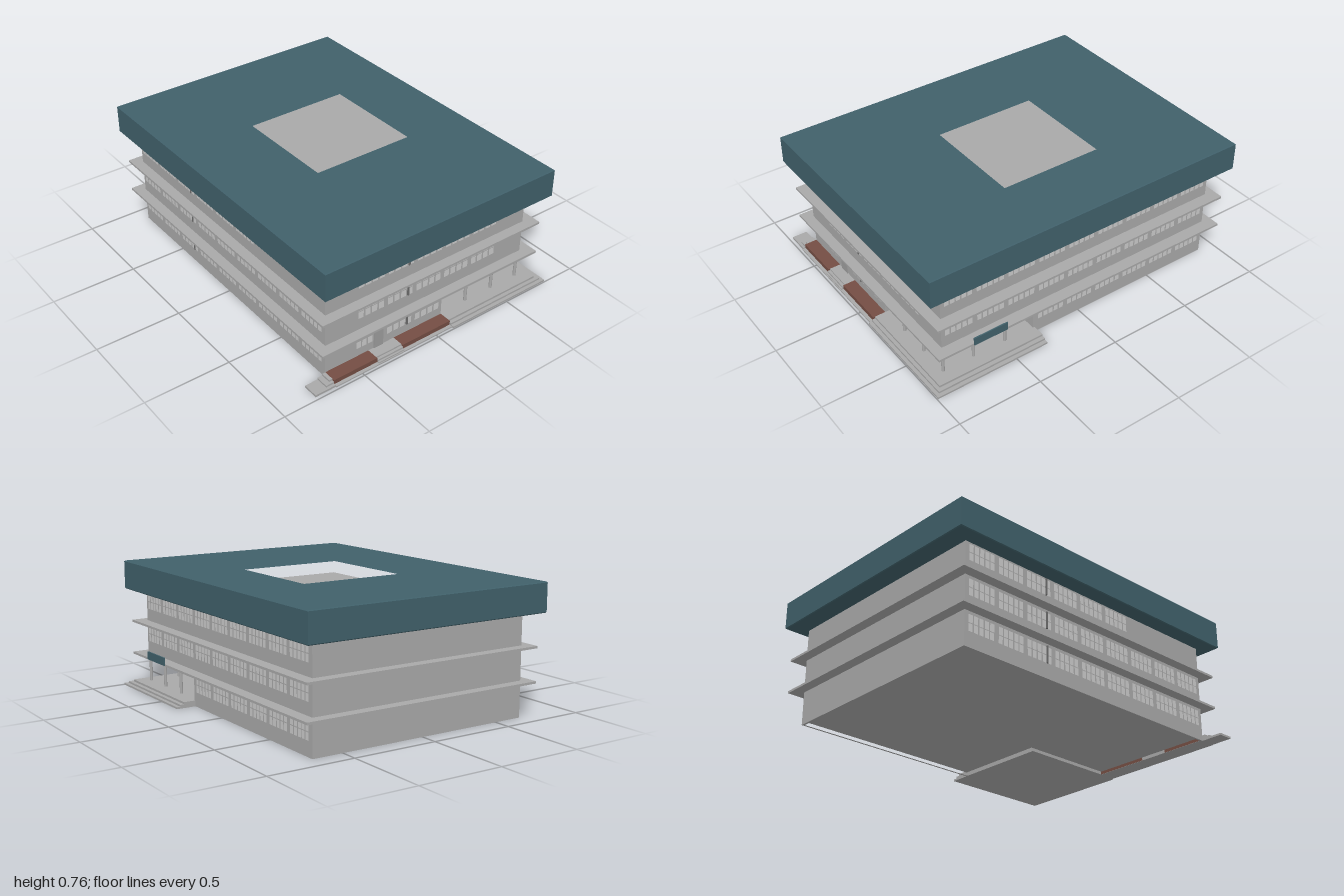
import * as THREE from 'three';
import { mergeGeometries } from 'three/addons/utils/BufferGeometryUtils.js';

const paint = (name, color) => {
  const m = new THREE.MeshStandardMaterial({ color });
  m.name = name;
  return m;
};

export function createModel() {
  const model = new THREE.Group();
  model.name = 'officeBuilding';
  const wall = paint('wallGrey', 0xa8a8a8);
  const glass = paint('paleGlass', 0xcacaca);
  const teal = paint('roofTeal', 0x40606a);
  const brown = paint('brickBrown', 0x744d43);
  const dark = paint('pipeGrey', 0x6c6c6c);
  const doorGrey = paint('doorGrey', 0x9c9c9c);

  const add = (name, geometry, material) => {
    const mesh = new THREE.Mesh(geometry, material);
    mesh.name = name;
    model.add(mesh);
    return mesh;
  };
  // Box given by its low and high corners
  const boxGeo = (x0, x1, y0, y1, z0, z1) =>
    new THREE.BoxGeometry(x1 - x0, y1 - y0, z1 - z0)
      .translate((x0 + x1) / 2, (y0 + y1) / 2, (z0 + z1) / 2);
  const box = (name, material, ...b) => add(name, boxGeo(...b), material);
  // Upright prism from a floor plan of [x, z] points
  const toPath = (pts) => pts.map(([x, z]) => new THREE.Vector2(x, -z));
  const prism = (pts, y0, y1, hole, bevel = 0) => {
    const shape = new THREE.Shape(toPath(pts));
    if (hole) shape.holes.push(new THREE.Path(toPath(hole)));
    return new THREE.ExtrudeGeometry(shape, {
      depth: y1 - y0 - 2 * bevel, bevelEnabled: bevel > 0, bevelSize: bevel,
      bevelThickness: bevel, bevelOffset: -bevel, bevelSegments: 1,
    }).rotateX(-Math.PI / 2).translate(0, y0 + bevel, 0);
  };
  const rect = (x0, x1, z0, z1) => [[x0, z0], [x1, z0], [x1, z1], [x0, z1]];

  // Ground floor, with the entrance corner cut away, on a hollow plinth
  const L = -0.9, R = 0.89, B = -0.68, F = 0.67, inX = 0.31, inZ = -0.11;
  const plan = (i) => [[L + i, B + i], [inX - i, B + i], [inX - i, inZ + i],
    [R - i, inZ + i], [R - i, F - i], [L + i, F - i]];
  add('groundFloor', prism(plan(0), 0.025, 0.195), wall);
  add('plinth', prism(plan(0), 0, 0.025, plan(0.012)), wall);

  // Upper storeys and projecting floor slabs
  box('upperFloors', wall, L, R, 0.2, 0.578, B, F);
  for (const y of [0.195, 0.39]) box('floorSlab', wall, -0.96, 0.95, y, y + 0.013, -0.75, 0.73);
  box('entranceCeiling', brown, inX, R, 0.19, 0.195, B, inZ);

  // Deep roof band with a square opening
  add('roof', prism(rect(-1, 0.997, -0.77, 0.75), 0.588, 0.757,
    rect(-0.35, 0.275, -0.37, 0.257), 0.005), teal);

  // Window groups: each is a row of narrow panes in two tiers
  const rows = [0.085, 0.28, 0.475];
  const pitch = 0.1965;
  function panes(list, u, y, count, step) {
    for (let i = 0; i < count; i++) {
      for (const [dy, h] of [[0, 0.042], [0.047, 0.044]]) {
        list.push(new THREE.PlaneGeometry(step * 0.76, h)
          .translate(u + step * (i + 0.4), y + dy + h / 2, 0.003));
      }
    }
  }
  // Front windows
  const front = [];
  rows.forEach((y, r) => {
    for (let g = 0; g < (r === 2 ? 6 : 9); g++) panes(front, -0.877 + g * pitch, y, 5, 0.035);
  });
  add('frontWindows', mergeGeometries(front), glass).position.z = F;

  // Back windows; u runs towards -x
  const back = [];
  rows.forEach((y, r) => {
    for (let g = r === 0 ? 3 : 0; g < 9; g++) panes(back, -0.868 + g * pitch, y, 5, 0.035);
  });
  const backWindows = add('backWindows', mergeGeometries(back), glass);
  backWindows.rotation.y = Math.PI;
  backWindows.position.z = B;

  // Right-hand windows; u runs towards -z
  const side = [];
  for (const y of rows.slice(1)) {
    for (let g = 0; g < 5; g++) panes(side, -0.463 + g * 0.192, y, 4, 0.044);
  }
  panes(side, -0.473, rows[0], 3, 0.038);
  panes(side, -0.271, rows[0], 4, 0.044);
  panes(side, -0.08, rows[0], 4, 0.044);
  const sideWindows = add('sideWindows', mergeGeometries(side), glass);
  sideWindows.rotation.y = Math.PI / 2;
  sideWindows.position.x = R;

  // Short drainpipes beside the windows
  for (const y of rows) {
    box('frontPipe', dark, -0.35, -0.342, y, y + 0.097, F, F + 0.008);
    box('sidePipe', dark, R, R + 0.008, y, y + 0.097, 0.131, 0.139);
  }

  // Side door and the glazed entrance wall
  box('sideDoor', doorGrey, R, R + 0.005, 0.033, 0.19, 0.295, 0.355);
  box('entranceGlass', glass, inX, inX + 0.005, 0.036, 0.188, -0.285, -0.115);
  box('entranceGlass', glass, inX, inX + 0.005, 0.036, 0.188, -0.475, -0.305);

  // Columns around the open corner
  for (const [x, z] of [[0.88, -0.295], [0.88, -0.485], [0.88, -0.67], [0.69, -0.67], [0.49, -0.67]]) {
    add('column', new THREE.CylinderGeometry(0.009, 0.009, 0.165, 16)
      .translate(x, 0.1125, z), wall);
  }

  // Entrance terrace: three stacked steps wrapping the corner
  [[0.995, -0.797, 0, 0.011], [0.975, -0.775, 0.011, 0.022], [0.955, -0.752, 0.022, 0.034]]
    .forEach(([x, z, y0, y1]) => box('terraceStep', wall, 0.3, x, y0, y1, z, -0.11));

  // Side walkway with steps at its front end and outside the door
  box('walkwayBase', wall, R, 0.985, 0, 0.007, -0.11, F);
  box('frontStep', wall, R, 0.98, 0, 0.012, F, 0.797);
  box('frontStep', wall, R, 0.965, 0.012, 0.022, F, 0.72);
  box('frontStep', wall, R, 0.95, 0.022, 0.033, F, 0.69);
  [[0.98, 0.007, 0.014], [0.97, 0.014, 0.024], [0.955, 0.024, 0.033]]
    .forEach(([x, y0, y1]) => box('doorStep', wall, R, x, y0, y1, 0.22, 0.39));
  for (const [z0, z1] of [[0.39, F], [-0.11, 0.22]]) {
    box('brickPlanter', brown, R, 0.965, 0.007, 0.033, z0, z1);
  }

  // Sign panel above the entrance
  box('signPanel', teal, 0.53, 0.74, 0.2, 0.247, -0.758, -0.75);
  return model;
}
